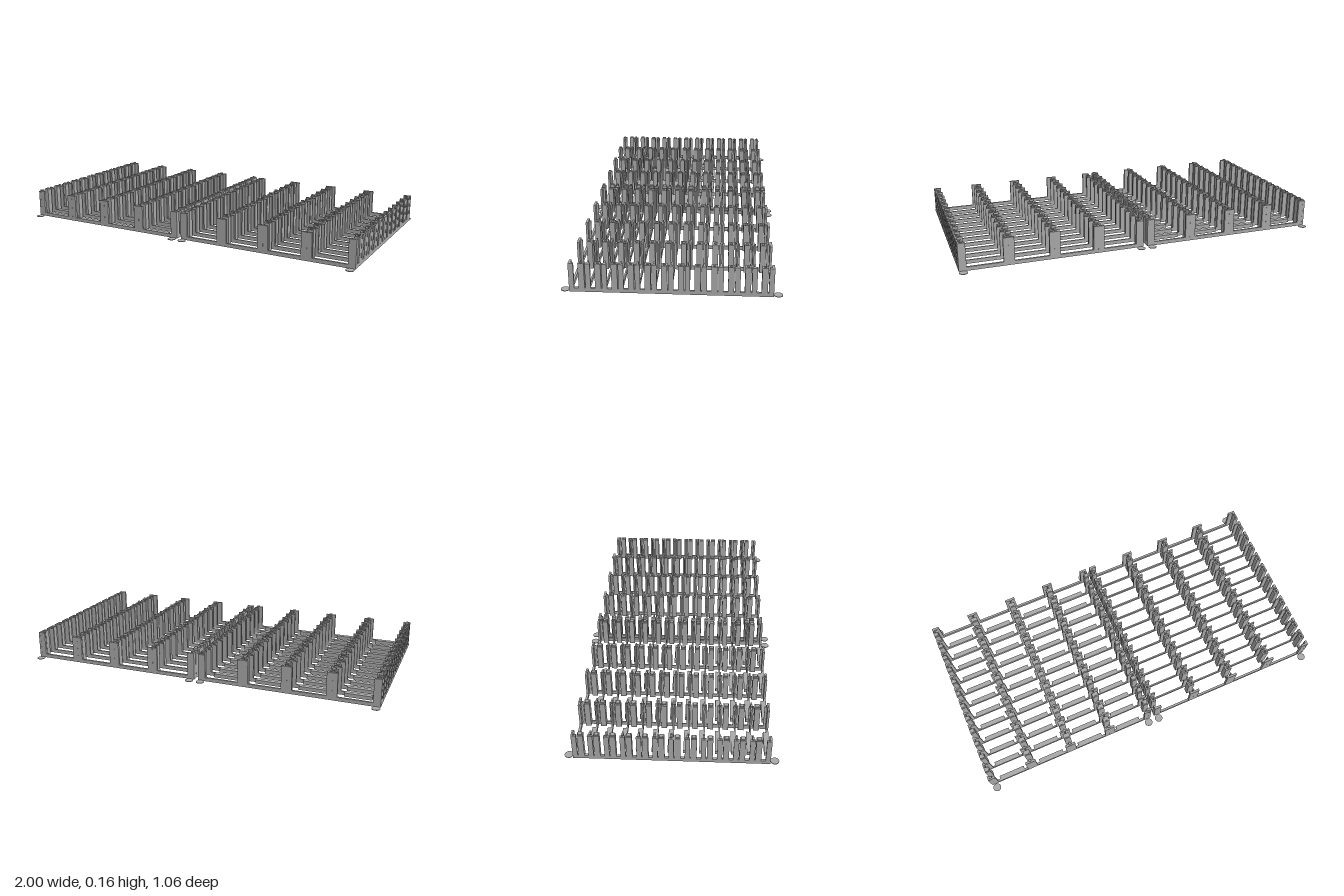
import * as THREE from 'three';

const grey = new THREE.MeshStandardMaterial({ color: 0xa9a9a9 });
const PITCH = 0.079, H = 0.15, RAIL = 0.02, END = 0.481;

function box(parent, name, x0, x1, y0, y1, z0, z1) {
  const m = new THREE.Mesh(new THREE.BoxGeometry(x1 - x0, y1 - y0, z1 - z0), grey);
  m.position.set((x0 + x1) / 2, (y0 + y1) / 2, (z0 + z1) / 2);
  m.name = name;
  parent.add(m);
  return m;
}

// Hollow square post, standing upright
function hollowPost(width, depth) {
  const rect = (Type, w, d) => {
    const p = new Type();
    p.moveTo(-w / 2, -d / 2);
    p.lineTo(w / 2, -d / 2);
    p.lineTo(w / 2, d / 2);
    p.lineTo(-w / 2, d / 2);
    p.closePath();
    return p;
  };
  const s = rect(THREE.Shape, width, depth);
  s.holes.push(rect(THREE.Path, width - 0.018, depth - 0.016));
  return new THREE.ExtrudeGeometry(s, { depth: H, bevelEnabled: false }).rotateX(-Math.PI / 2);
}
const innerPost = hollowPost(0.036, 0.029);
const outerPost = hollowPost(0.028, 0.029);

// One rack: x0..x1 outer limits, cols = inner column centres
function makeRack(name, x0, x1, cols, pegged) {
  const rack = new THREE.Group();
  rack.name = name;

  // Outer frame and column spines
  for (const s of [-1, 1]) box(rack, 'endRail', x0, x1, 0, RAIL, s * END - 0.006, s * END + 0.006);
  box(rack, 'sideRail', x0, x0 + 0.012, 0, RAIL, -END, END);
  box(rack, 'sideRail', x1 - 0.012, x1, 0, RAIL, -END, END);
  for (const c of cols) box(rack, 'spine', c - 0.003, c + 0.003, 0, RAIL, -END, END);

  // Each column: plate span, rib position and block centre
  const columns = [
    { a: x0, b: x0 + 0.04, r0: x0, r1: x0 + 0.012, c: x0 + 0.014, geo: outerPost },
    ...cols.map(c => ({ a: c - 0.029, b: c + 0.029, r0: c - 0.003, r1: c + 0.003, c, geo: innerPost })),
    { a: x1 - 0.04, b: x1, r0: x1 - 0.012, r1: x1, c: x1 - 0.014, geo: outerPost },
  ];

  for (let k = -6; k <= 6; k++) {
    const end = Math.abs(k) === 6, s = Math.sign(k);
    const z = end ? s * END : k * PITCH;
    const t = end ? 0.006 : 0.004;
    // Cross rung
    if (!end) box(rack, 'rung', x0, x1, 0, RAIL, z - t, z + t);
    for (const q of columns) {
      // Cross-shaped divider upright: wide plate plus rib
      box(rack, 'dividerPlate', q.a, q.b, RAIL, H, z - t, z + t);
      const rz = end ? s * 0.475 : z;
      box(rack, 'dividerRib', q.r0, q.r1, RAIL, H, rz - 0.0125, rz + 0.0125);
      if (pegged) box(rack, 'smallPeg', q.c - 0.008, q.c + 0.008, H, 0.157, rz - 0.005, rz + 0.005);
      // Hollow post just in front of the rung
      if (k < 6) {
        const bz = k * PITCH + 0.031;
        const post = new THREE.Mesh(q.geo, grey);
        post.position.set(q.c, 0, bz);
        post.name = 'hollowPost';
        rack.add(post);
        if (pegged) box(rack, 'largePeg', q.c - 0.01, q.c + 0.01, H, 0.157, bz - 0.01, bz + 0.01);
      }
    }
    // Support tabs behind each rung
    if (pegged && k > -6) {
      for (let i = 0; i < 4; i++) {
        const mid = x0 + 0.128 + i * 0.24;
        box(rack, 'tab', mid - 0.073, mid + 0.073, 0, RAIL, z - 0.022, z);
      }
    }
  }

  // Thin round corner feet
  for (const x of [x0 + 0.02, x1 - 0.02]) for (const s of [-1, 1]) {
    const foot = new THREE.Mesh(new THREE.CylinderGeometry(0.022, 0.022, 0.003, 20), grey);
    foot.position.set(x, 0.0015, s * 0.51);
    foot.name = 'cornerFoot';
    rack.add(foot);
  }
  return rack;
}

export function createModel() {
  grey.name = 'plain grey';
  const g = new THREE.Group();
  g.name = 'dividerRacks';
  g.add(makeRack('rightRack', -1, -0.014, [-0.75, -0.51, -0.27], true));
  g.add(makeRack('leftRack', 0.01, 1, [0.262, 0.502, 0.743], false));
  return g;
}
